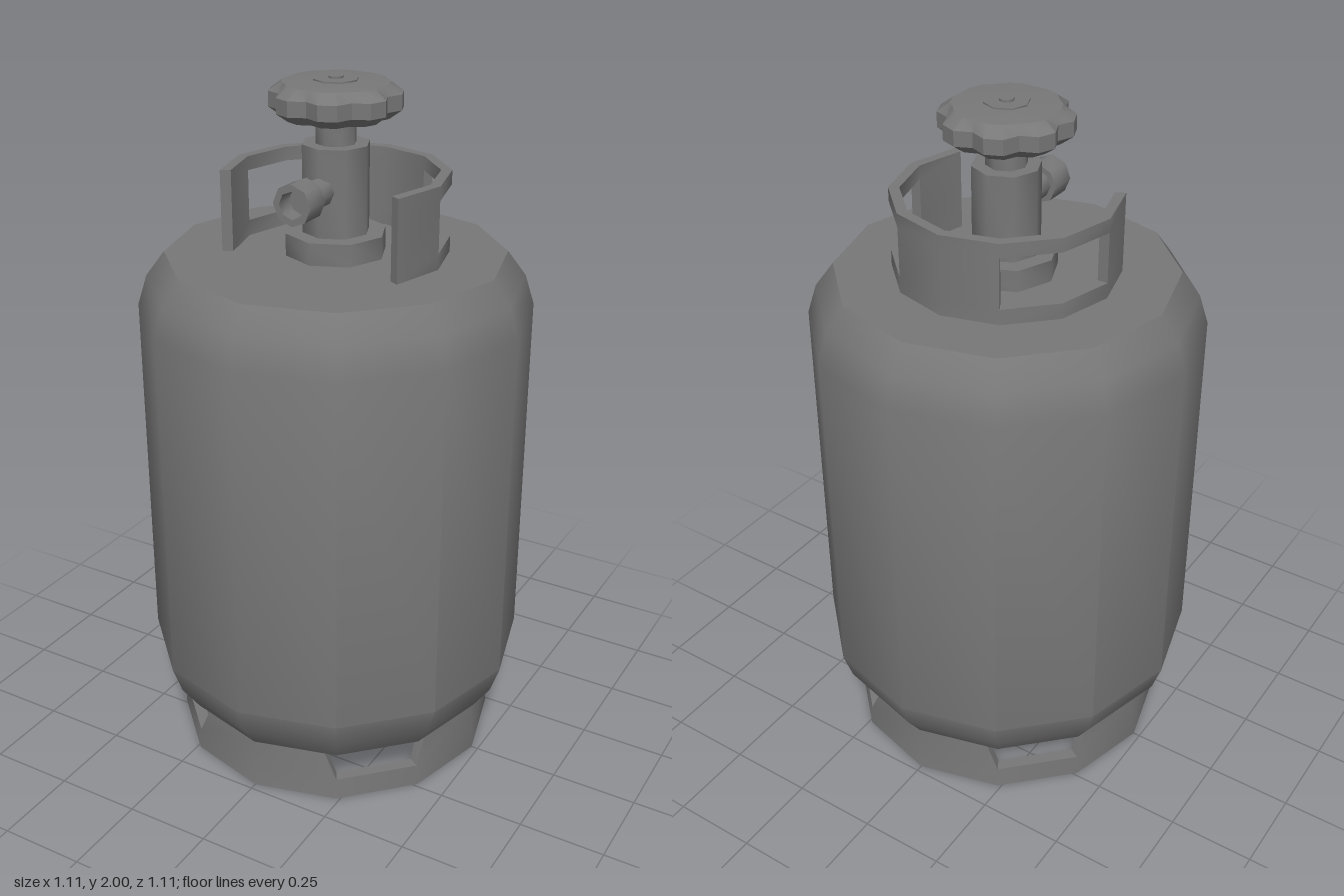
import * as THREE from 'three';
import { mergeGeometries, toCreasedNormals } from 'three/addons/utils/BufferGeometryUtils.js';

const rad = THREE.MathUtils.degToRad;

// Turned part from a bottom-to-top profile of [radius, height] pairs
function turned(profile, sides, crease) {
  const geo = new THREE.LatheGeometry(profile.map(([r, y]) => new THREE.Vector2(r, y)), sides);
  return crease ? toCreasedNormals(geo, crease) : geo;
}

// Point on a twelve-sided outline, with the angle in degrees from the front
function outline(radius, angle, y) {
  const a = ((angle % 30) + 30) % 30;
  const r = radius * Math.cos(rad(15)) / Math.cos(rad(a - 15));
  return [r * Math.sin(rad(angle)), y, r * Math.cos(rad(angle))];
}

// Curved wall through stations [lower angle, upper angle], with inner and outer faces
function wall(stations, y0, y1, r0, r1, thickness, closed = false) {
  const pos = [];
  const quad = (a, b, c, d) => pos.push(...a, ...b, ...c, ...a, ...c, ...d);
  const sections = stations.map(([lo, hi]) => [
    outline(r0, lo, y0), outline(r1, hi, y1),
    outline(r1 - thickness, hi, y1), outline(r0 - thickness, lo, y0),
  ]);
  for (let i = 0; i < sections.length - 1; i++) {
    const s = sections[i], t = sections[i + 1];
    for (let k = 0; k < 4; k++) quad(s[k], t[k], t[(k + 1) % 4], s[(k + 1) % 4]);
  }
  if (!closed) {
    const s = sections[0], t = sections[sections.length - 1];
    quad(s[0], s[1], s[2], s[3]);
    quad(t[3], t[2], t[1], t[0]);
  }
  const geo = new THREE.BufferGeometry();
  geo.setAttribute('position', new THREE.Float32BufferAttribute(pos, 3));
  return geo;
}

function arc(from, to) {
  const list = [];
  for (let a = from; a <= to; a += 30) list.push([a, a]);
  return list;
}

export function createModel() {
  const model = new THREE.Group();
  model.name = 'gasCylinder';
  const grey = new THREE.MeshStandardMaterial({ color: 0x787878 });
  grey.name = 'grey';
  const add = (name, geo) => {
    const mesh = new THREE.Mesh(geo, grey);
    mesh.name = name;
    model.add(mesh);
    return mesh;
  };

  // Tank with bevelled shoulders and flat ends
  add('tank', turned([
    [0, 0.155], [0.478, 0.155], [0.53, 0.23], [0.557, 0.31],
    [0.557, 1.36], [0.53, 1.445], [0.478, 1.515], [0, 1.515],
  ], 12, 0.6));

  // Foot ring: a full hoop with four feet, leaving tapered openings
  const foot = [wall(arc(0, 360), 0, 0.065, 0.48, 0.475, 0.035, true)];
  for (let c = 0; c < 360; c += 90) {
    foot.push(wall([[c - 30, c - 25.5], [c, c], [c + 30, c + 25.5]], 0.065, 0.155, 0.475, 0.468, 0.035));
  }
  add('footRing', toCreasedNormals(mergeGeometries(foot), 0.6));

  // Collar open at the front, with a window on each side
  const R = 0.315, T = 0.03;
  add('collar', toCreasedNormals(mergeGeometries([
    wall(arc(60, 300), 1.515, 1.56, R, R, T),
    wall(arc(60, 300), 1.705, 1.745, R, R, T),
    ...[[60, 90], [150, 210], [270, 300]].map(([a, b]) => wall(arc(a, b), 1.56, 1.705, R, R, T)),
  ]), 0.6));

  // Valve base, body and stem
  add('valveBody', turned([
    [0, 1.515], [0.143, 1.515], [0.143, 1.578], [0.095, 1.578],
    [0.095, 1.822], [0.057, 1.822], [0.057, 1.9], [0, 1.9],
  ], 8, 0.85));

  // Outlet with a hollow mouth, pointing forward
  const outlet = turned([
    [0.04, 0.07], [0.04, 0.155], [0.057, 0.155], [0.057, 0.232],
    [0.038, 0.232], [0.038, 0.18], [0, 0.18],
  ], 8, 0.85);
  outlet.rotateX(Math.PI / 2);
  outlet.translate(0, 1.705, 0);
  add('outlet', outlet);

  // Handwheel: a lathe whose rim is pulled into eight blunt lobes
  const rim = [[0, 1.893], [0.06, 1.893], [0.145, 1.893], [0.18, 1.918], [0.18, 1.96], [0.145, 1.985], [0.06, 1.99], [0, 1.99]];
  const notch = [1, 1, 0.88, 0.86, 0.86, 0.96, 1, 1];
  const wheel = turned(rim, 24);
  const p = wheel.attributes.position;
  for (let i = 0; i < p.count; i++) {
    const seg = Math.floor(i / rim.length), j = i % rim.length;
    const angle = rad(Math.floor(seg / 3) * 45 + [0, 14.5, 30.5][seg % 3]);
    const r = rim[j][0] * (seg % 3 === 0 ? notch[j] : 1);
    p.setXYZ(i, r * Math.sin(angle), rim[j][1], r * Math.cos(angle));
  }
  add('handwheel', toCreasedNormals(wheel, 0.5));

  // Wheel cap and centre pin
  add('wheelCap', turned([[0.062, 1.975], [0.062, 1.994], [0, 1.994]], 8, 0.85));
  add('wheelPin', turned([[0.02, 1.99], [0.02, 2], [0, 2]], 8, 0.85));

  return model;
}
